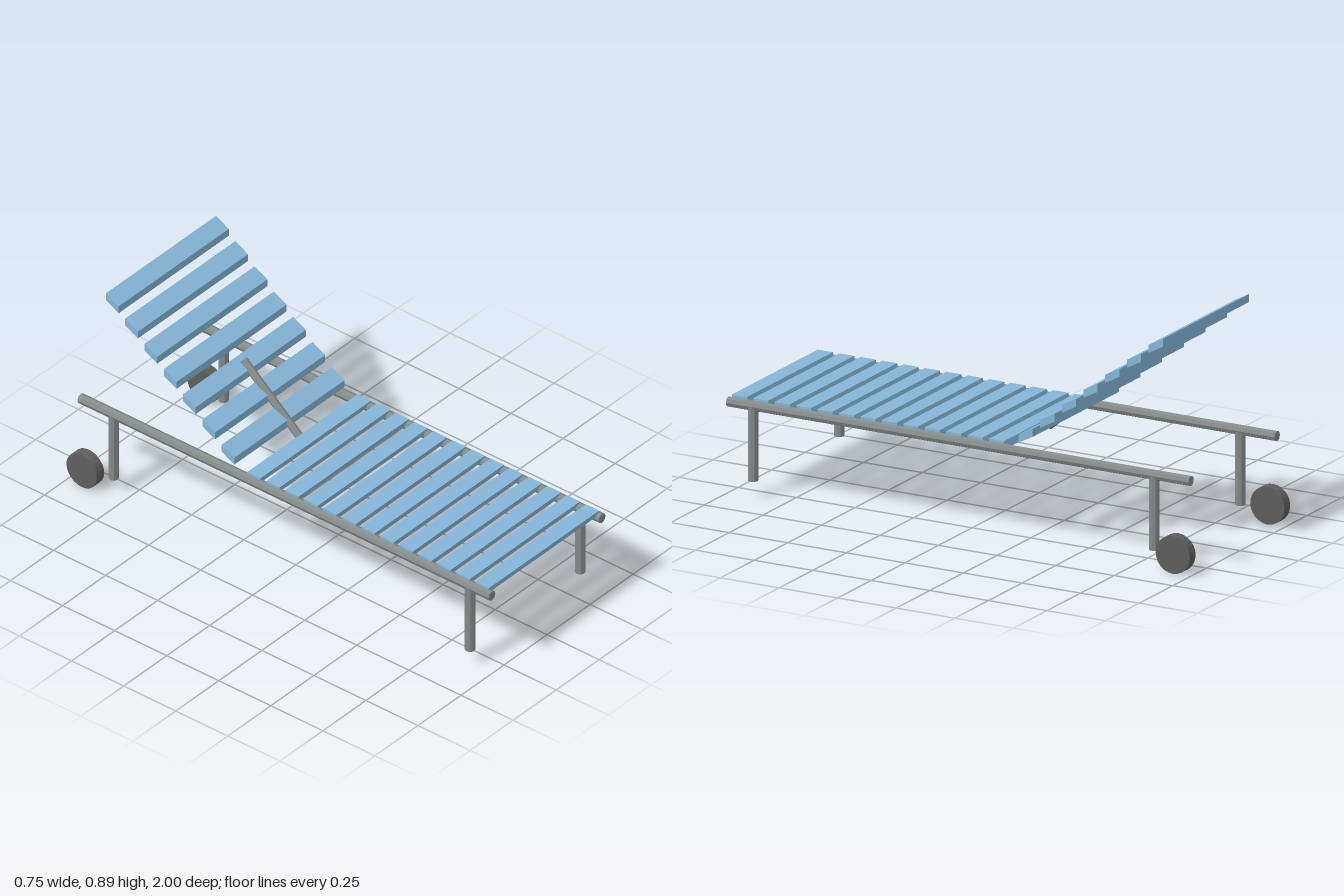
import * as THREE from 'three';

const slatPaint = new THREE.MeshStandardMaterial({ color: 0x86b6d8 });
slatPaint.name = 'blueSlats';
const metal = new THREE.MeshStandardMaterial({ color: 0x858a8a, flatShading: true });
metal.name = 'greyMetal';
const rubber = new THREE.MeshStandardMaterial({ color: 0x5e5e5e, flatShading: true });
rubber.name = 'darkRubber';

// Eight-sided tube between two points
function tube(name, a, b, radius) {
  const from = new THREE.Vector3(...a), to = new THREE.Vector3(...b);
  const dir = to.clone().sub(from);
  const geo = new THREE.CylinderGeometry(radius, radius, dir.length(), 8);
  const mesh = new THREE.Mesh(geo, metal);
  mesh.name = name;
  mesh.position.copy(from).add(to).multiplyScalar(0.5);
  mesh.quaternion.setFromUnitVectors(new THREE.Vector3(0, 1, 0), dir.normalize());
  return mesh;
}

// Slat as a sheared box: rise lifts its back edge, lean shifts its underside back
function slat(name, depth, thick, rise, lean) {
  const geo = new THREE.BoxGeometry(0.64, thick, depth);
  const p = geo.attributes.position;
  for (let i = 0; i < p.count; i++) {
    const y = p.getY(i), z = p.getZ(i);
    p.setY(i, y - (z / depth) * rise);
    p.setZ(i, z + (y / thick) * lean);
  }
  geo.computeVertexNormals();
  const mesh = new THREE.Mesh(geo, slatPaint);
  mesh.name = name;
  return mesh;
}

export function createModel() {
  const model = new THREE.Group();
  model.name = 'sunLounger';

  // Side rails, legs and rear wheels
  for (const [side, s] of [['left', 1], ['right', -1]]) {
    const x = 0.32 * s;
    model.add(tube(side + 'Rail', [x, 0.353, 1], [x, 0.353, -0.975], 0.02));
    model.add(tube(side + 'FrontLeg', [x, 0.063, 0.895], [x, 0.353, 0.895], 0.02));
    model.add(tube(side + 'RearLeg', [x, 0.063, -0.817], [x, 0.353, -0.817], 0.02));
    const wheel = new THREE.Mesh(new THREE.CylinderGeometry(0.073, 0.073, 0.043, 24), rubber);
    wheel.name = side + 'Wheel';
    wheel.rotation.z = Math.PI / 2;
    wheel.position.set(0.3515 * s, 0.073, -0.927);
    model.add(wheel);
  }

  // Flat seat slats
  for (let i = 0; i < 13; i++) {
    const mesh = slat('seatSlat' + (i + 1), 0.064, 0.028, 0, 0.008);
    mesh.position.set(0, 0.368, 0.95 - i * 0.0914);
    model.add(mesh);
  }

  // Rising backrest slats
  for (let i = 0; i < 7; i++) {
    const mesh = slat('backSlat' + (i + 1), 0.061, 0.031, 0.032, 0);
    mesh.position.set(0, 0.418 + i * 0.0726, -0.268 - i * 0.0926);
    model.add(mesh);
  }

  // Central backrest strut
  model.add(tube('backStrut', [0, 0.358, -0.185], [0, 0.587, -0.458], 0.016));
  return model;
}
